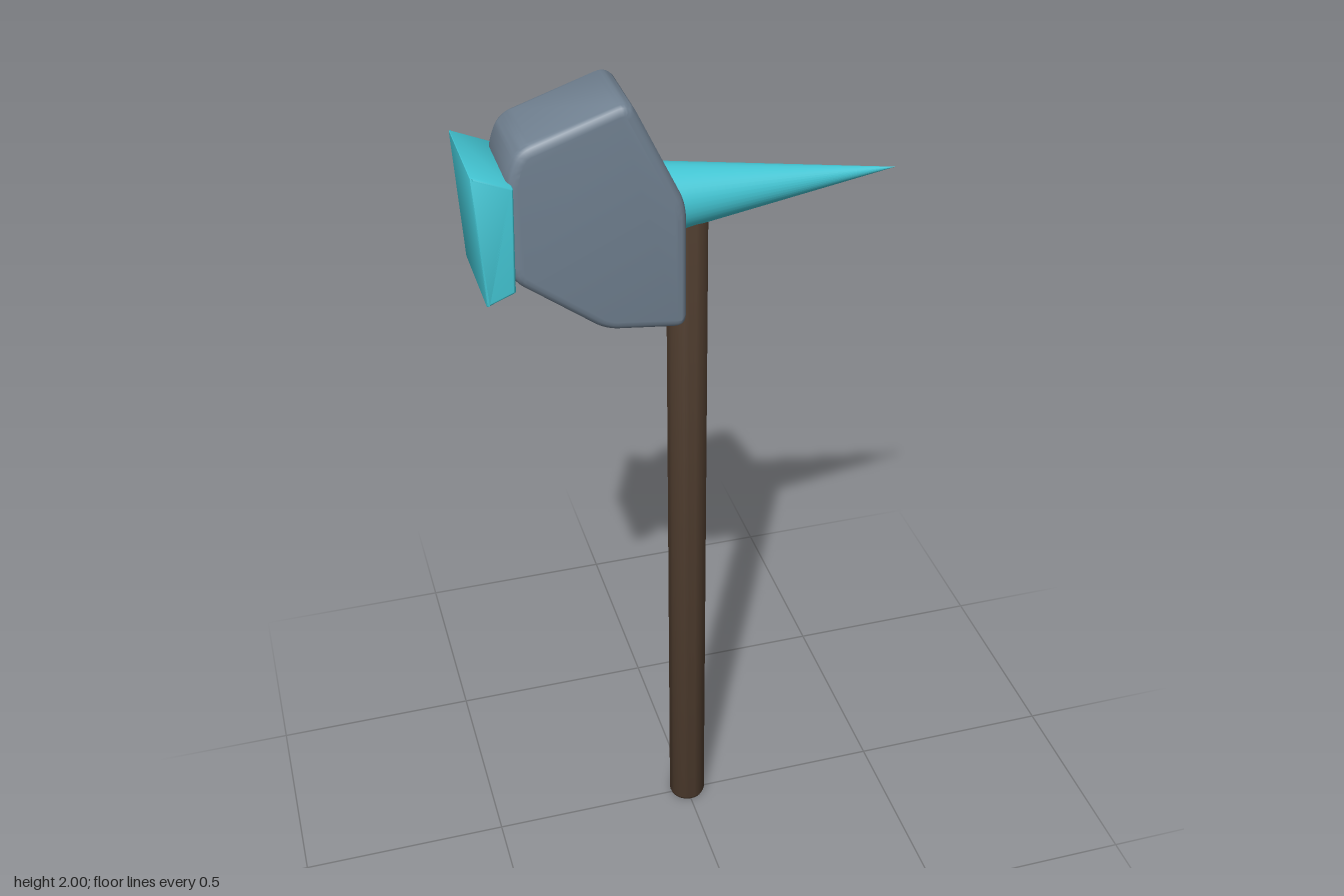
import * as THREE from 'three';
import { toCreasedNormals } from 'three/addons/utils/BufferGeometryUtils.js';

const mat = (color) => new THREE.MeshStandardMaterial({ color });

// Closed outline whose corners are rounded off by the distance cut
function roundedShape(points, cut) {
  const shape = new THREE.Shape();
  const v = points.map(([x, y]) => new THREE.Vector2(x, y));
  v.forEach((p, i) => {
    const toward = (q) => p.clone().add(q.clone().sub(p).setLength(cut));
    const a = toward(v[(i + v.length - 1) % v.length]);
    const b = toward(v[(i + 1) % v.length]);
    if (i === 0) shape.moveTo(a.x, a.y);
    else shape.lineTo(a.x, a.y);
    shape.quadraticCurveTo(p.x, p.y, b.x, b.y);
  });
  shape.closePath();
  return shape;
}

// Slab of the outline, centred on z, with softened rims inside the outline
function slab(points, cut, halfDepth, bevel) {
  const geo = new THREE.ExtrudeGeometry(roundedShape(points, cut), {
    depth: 2 * (halfDepth - bevel),
    curveSegments: 6,
    bevelThickness: bevel,
    bevelSize: bevel,
    bevelOffset: -bevel,
    bevelSegments: 4,
  });
  geo.translate(0, 0, -(halfDepth - bevel));
  return toCreasedNormals(geo, 0.6);
}

export function createModel() {
  const model = new THREE.Group();
  const add = (name, geometry, material) => {
    const mesh = new THREE.Mesh(geometry, material);
    mesh.name = name;
    model.add(mesh);
    return mesh;
  };
  const stone = mat(0x708090);
  const crystal = mat(0x44c8d6);
  const wood = mat(0x4d3b2d);

  // Round shaft with softened ends
  const r = 0.045, top = 1.71, b = 0.012;
  const profile = [[0, 0], [r - b, 0], [r - 0.003, 0.004], [r, b], [r, top - b],
    [r - 0.003, top - 0.004], [r - b, top], [0, top]].map(([x, y]) => new THREE.Vector2(x, y));
  add('shaft', toCreasedNormals(new THREE.LatheGeometry(profile, 32), 0.9), wood);

  // Heavy seven-sided head
  add('head', slab([
    [-0.4, 1.645], [-0.205, 1.498], [-0.027, 1.477], [-0.027, 1.765],
    [-0.143, 2.009], [-0.375, 1.932], [-0.4, 1.87],
  ], 0.03, 0.103, 0.022), stone);

  // Flared striking plate on the model's right
  add('strikingPlate', slab([
    [-0.473, 1.898], [-0.457, 1.605], [-0.395, 1.63], [-0.388, 1.862],
  ], 0.003, 0.117, 0.006), crystal);

  // Spike on the model's left
  const spike = add('spike', new THREE.ConeGeometry(0.077, 0.525, 40), crystal);
  spike.rotation.z = -Math.PI / 2;
  spike.position.set(0.2045, 1.742, 0);

  return model;
}
